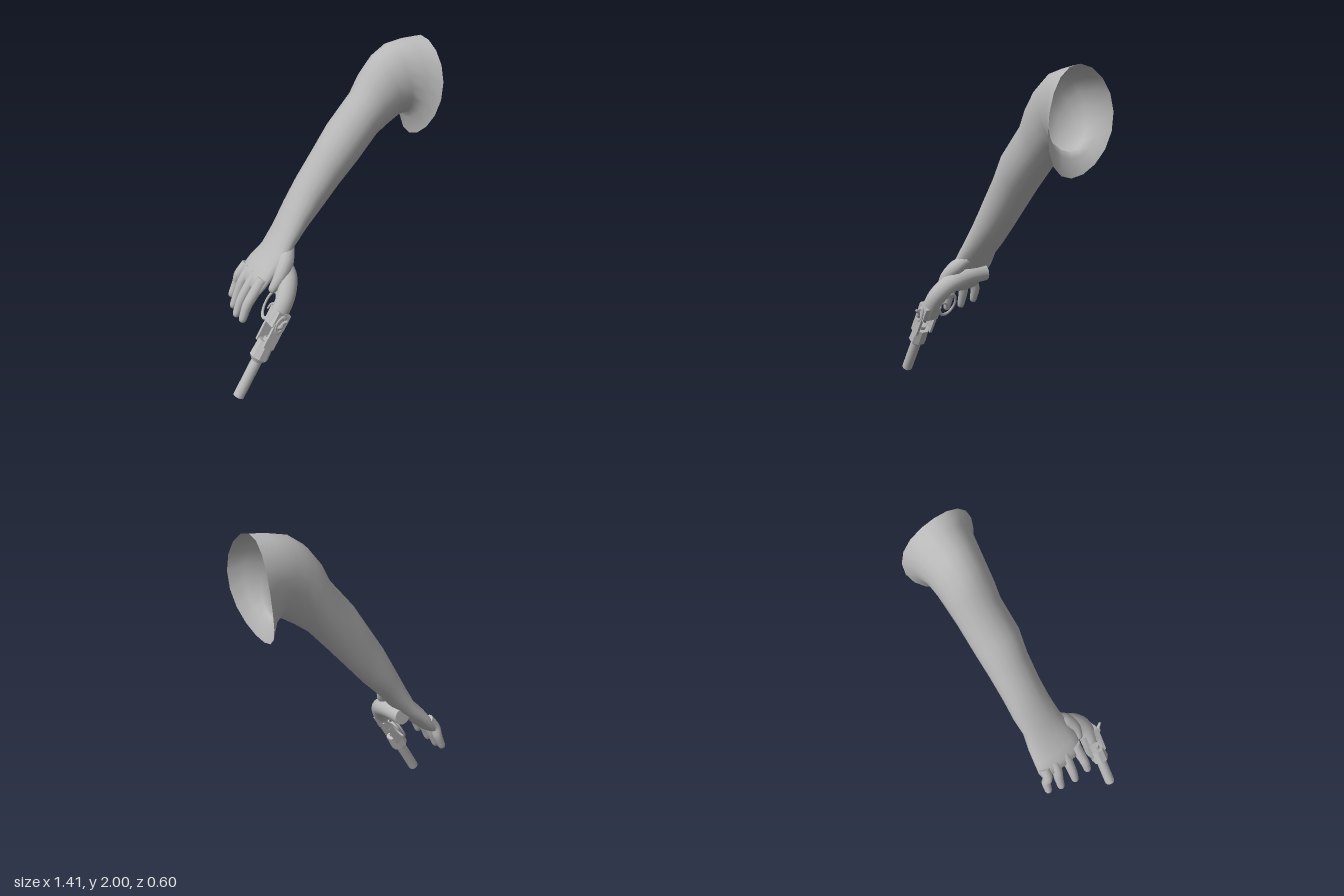
import * as THREE from 'three';
import { toCreasedNormals } from 'three/addons/utils/BufferGeometryUtils.js';

const gray = new THREE.MeshStandardMaterial({ color: 0xb8b8b8, side: THREE.DoubleSide });
gray.name = 'plainGray';
const V = (x, y, z) => new THREE.Vector3(x, y, z);

// Skin a list of equal-length closed rings
function loft(rings, crease = 1.1) {
  const n = rings[0].length, pos = [], index = [];
  rings.forEach((ring) => ring.forEach((p) => pos.push(p.x, p.y, p.z)));
  for (let i = 0; i < rings.length - 1; i++) {
    for (let j = 0; j < n; j++) {
      const a = i * n + j, b = i * n + (j + 1) % n;
      index.push(a, b, b + n, a, b + n, a + n);
    }
  }
  const geo = new THREE.BufferGeometry();
  geo.setAttribute('position', new THREE.Float32BufferAttribute(pos, 3));
  geo.setIndex(index);
  return toCreasedNormals(geo, crease);
}

// Tapered tube through points; ends are 'round' or 'flat'
function sweep(points, radii, end = 'round', sides = 12, steps = 14) {
  const curve = new THREE.CatmullRomCurve3(points.map((p) => V(...p)));
  const frames = curve.computeFrenetFrames(steps);
  const rings = [];
  const ring = (i, r, shift = 0) => {
    const c = curve.getPointAt(i / steps).addScaledVector(frames.tangents[i], shift);
    rings.push(Array.from({ length: sides }, (_, j) => {
      const t = j / sides * Math.PI * 2;
      return c.clone().addScaledVector(frames.normals[i], r * Math.cos(t))
        .addScaledVector(frames.binormals[i], r * Math.sin(t));
    }));
  };
  const radiusAt = (i) => {
    const f = i / steps * (radii.length - 1), k = Math.min(Math.floor(f), radii.length - 2);
    return THREE.MathUtils.lerp(radii[k], radii[k + 1], f - k);
  };
  ring(0, 0.0005);
  for (let i = 0; i <= steps; i++) ring(i, radiusAt(i));
  const r = radiusAt(steps);
  if (end === 'round') {
    ring(steps, r * 0.8, r * 0.6);
    ring(steps, r * 0.45, r * 0.9);
    ring(steps, 0.0005, r);
  } else ring(steps, 0.0005);
  return loft(rings);
}

function add(parent, name, geo, x = 0, y = 0, z = 0) {
  const mesh = new THREE.Mesh(geo, gray);
  mesh.name = name;
  mesh.position.set(x, y, z);
  parent.add(mesh);
  return mesh;
}

function buildArm() {
  const arm = new THREE.Group();
  arm.name = 'arm';
  // upper x, upper y, lower x, lower y, z min, z max, outward bow of the rim
  const sections = [
    [0.685, 2.0, 0.63, 1.4, -0.3, 0.165, 0.045],
    [0.59, 1.99, 0.61, 1.5, -0.27, 0.11, 0.03],
    [0.475, 1.965, 0.59, 1.54, -0.252, 0.08, 0],
    [0.38, 1.9, 0.535, 1.525, -0.245, 0.065, 0],
    [0.3, 1.8, 0.45, 1.47, -0.24, 0.055, 0],
    [0.25, 1.7, 0.37, 1.41, -0.235, 0.045, 0],
    [0.09, 1.52, 0.24, 1.27, -0.232, 0.055, 0],
    [0, 1.385, 0.12, 1.135, -0.225, 0.035, 0],
    [-0.12, 1.21, 0, 1.0, -0.222, 0.03, 0],
    [-0.2, 1.07, -0.1, 0.9, -0.225, 0.035, 0],
    [-0.28, 0.93, -0.19, 0.81, -0.217, 0.05, 0],
    [-0.35, 0.8, -0.26, 0.73, -0.235, 0.07, 0],
    [-0.42, 0.73, -0.35, 0.65, -0.25, 0.08, 0],
    [-0.465, 0.67, -0.41, 0.585, -0.258, 0.077, 0],
    [-0.495, 0.62, -0.445, 0.555, -0.25, 0.07, 0],
    [-0.482, 0.575, -0.482, 0.575, -0.22, 0.04, 0],
  ];
  const sides = 18;
  const rings = sections.map(([ux, uy, lx, ly, z0, z1, bow]) =>
    Array.from({ length: sides }, (_, j) => {
      const t = j / sides * Math.PI * 2, c = Math.cos(t), s = Math.sin(t);
      return V((ux + lx) / 2 + (ux - lx) / 2 * c + bow * s * s,
        (uy + ly) / 2 + (uy - ly) / 2 * c, (z0 + z1) / 2 - (z1 - z0) / 2 * s);
    }));
  add(arm, 'sleeveAndPalm', loft(rings, 1.4));

  // Fingers: base z, tip x, tip y, tip z
  const fingers = {
    indexFinger: [0.035, -0.572, 0.435, 0.045],
    middleFinger: [-0.055, -0.572, 0.42, -0.058],
    ringFinger: [-0.14, -0.552, 0.425, -0.16],
    littleFinger: [-0.212, -0.527, 0.455, -0.247],
  };
  for (const [name, [bz, x, y, z]] of Object.entries(fingers)) {
    add(arm, name, sweep([[-0.43, 0.66, bz], [-0.485, 0.59, bz + (z - bz) * 0.3],
      [x + 0.035, y + 0.085, bz + (z - bz) * 0.75], [x, y, z]], [0.036, 0.033, 0.03, 0.024]));
  }
  add(arm, 'thumb', sweep([[-0.24, 0.82, 0], [-0.3, 0.745, 0.07], [-0.35, 0.68, 0.1],
    [-0.395, 0.62, 0.1]], [0.035, 0.05, 0.042, 0.027]));
  return arm;
}

// Gun built upright along +y from its muzzle, then tilted
function buildGun() {
  const gun = new THREE.Group();
  gun.name = 'gun';
  add(gun, 'barrel', new THREE.CylinderGeometry(0.034, 0.034, 0.28, 16), 0, 0.14, 0);
  const collar = toCreasedNormals(new THREE.CylinderGeometry(0.052, 0.058, 0.11, 8), 0.5);
  add(gun, 'collar', collar, 0, 0.325, 0).rotation.y = Math.PI / 8;
  add(gun, 'collarTaper', new THREE.CylinderGeometry(0.058, 0.036, 0.025, 8), 0, 0.2575, 0)
    .rotation.y = Math.PI / 8;
  add(gun, 'boreSleeve', new THREE.CylinderGeometry(0.026, 0.026, 0.03, 12), 0, 0.39, 0);
  // Open frame bars on each side of the gap
  for (const [name, z] of [['topStrap', 0.045], ['bottomStrap', -0.06]]) {
    add(gun, name, new THREE.BoxGeometry(0.07, 0.16, 0.018), 0, 0.43, z);
  }
  add(gun, 'frame', new THREE.BoxGeometry(0.085, 0.1, 0.115), 0, 0.53, -0.01);
  add(gun, 'grip', sweep([[0, 0.49, -0.02], [0, 0.58, -0.018], [0, 0.66, -0.035],
    [0, 0.745, -0.1], [0, 0.785, -0.2], [0, 0.8, -0.355]],
    [0.052, 0.055, 0.058, 0.06, 0.056, 0.055], 'flat', 16, 20));

  // Hammer with a raised oval loop around it
  const loop = add(gun, 'hammerSlot', new THREE.TorusGeometry(0.024, 0.008, 8, 20), 0, 0.51, 0.05);
  loop.scale.set(1, 2, 1);
  add(gun, 'hammer', sweep([[0, 0.48, 0.03], [0, 0.505, 0.065], [0, 0.53, 0.07],
    [0, 0.555, 0.092]], [0.014, 0.014, 0.011, 0.008], 'round', 8));

  // Trigger and guard
  const guard = add(gun, 'triggerGuard', new THREE.TorusGeometry(0.055, 0.008, 8, 28), 0, 0.55, -0.148);
  guard.rotation.y = Math.PI / 2;
  guard.scale.set(1, 1.6, 1);
  add(gun, 'trigger', sweep([[0, 0.57, -0.06], [0, 0.575, -0.11], [0, 0.555, -0.14],
    [0, 0.525, -0.15]], [0.012, 0.01, 0.008, 0.006], 'round', 8));

  gun.rotation.z = -0.535;
  gun.position.set(-0.678, 0.018, 0.2);
  return gun;
}

export function createModel() {
  const model = new THREE.Group();
  model.name = 'armWithGun';
  model.add(buildArm(), buildGun());
  return model;
}
